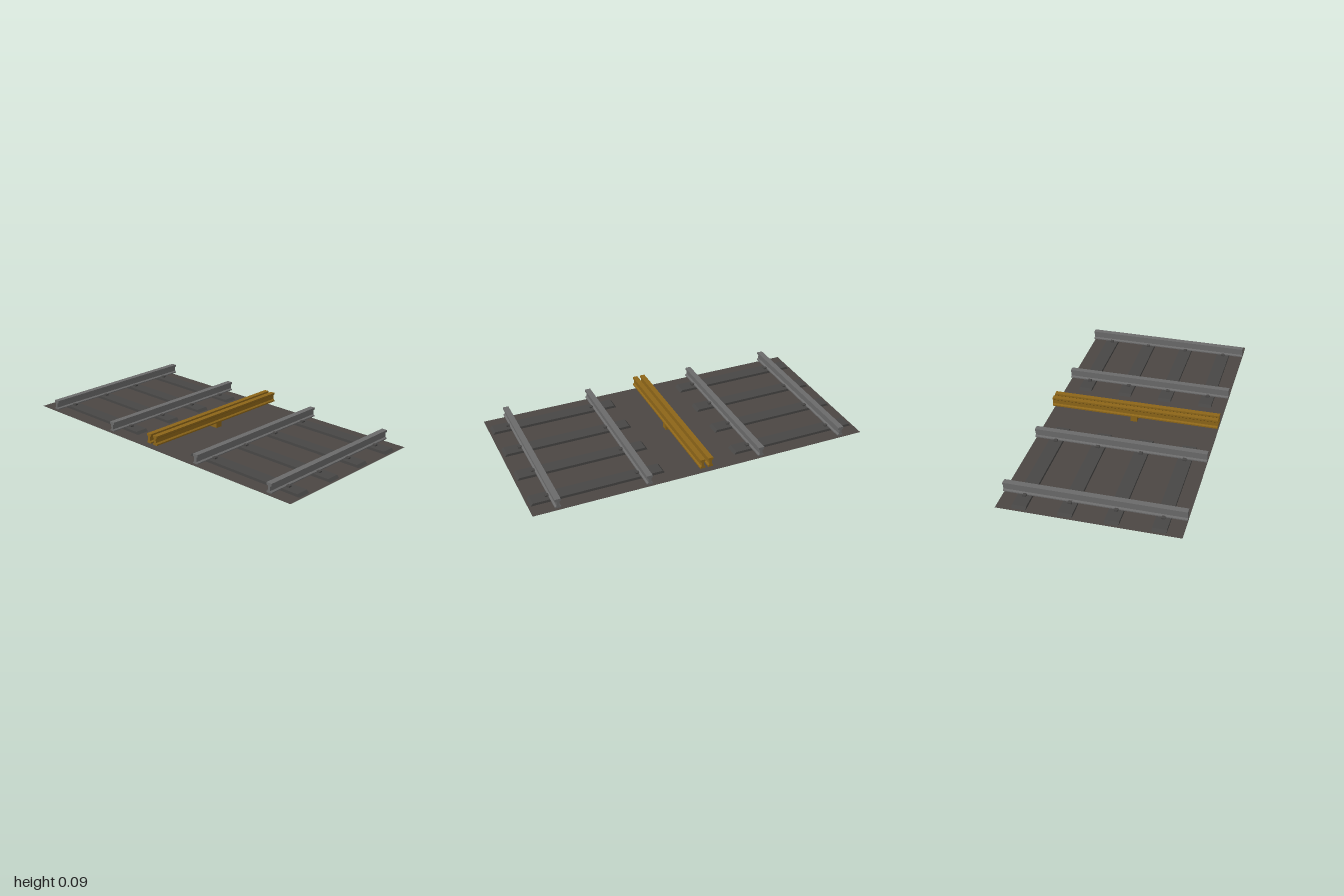
import * as THREE from 'three';

const material = (name, color, side = THREE.FrontSide) => {
  const m = new THREE.MeshStandardMaterial({ color, side });
  m.name = name;
  return m;
};

// Right half of a rail section (half width, height), from foot to head
const RUNNING = [[0.017, 0.015], [0.017, 0.021], [0.008, 0.027], [0.008, 0.052], [0.017, 0.057], [0.017, 0.07]];
const CENTRE = [[0.015, 0.03], [0.015, 0.038], [0.007, 0.045], [0.007, 0.068], [0.015, 0.075], [0.015, 0.086]];

// Mirrors a half section and sweeps it along z
function railGeometry(half, length) {
  const left = half.map(([x, y]) => [-x, y]).reverse();
  const shape = new THREE.Shape([...half, ...left].map(([x, y]) => new THREE.Vector2(x, y)));
  const g = new THREE.ExtrudeGeometry(shape, { depth: length, bevelEnabled: false });
  return g.translate(0, 0, -length / 2);
}

// Sleeper with sloping ends
function sleeperGeometry() {
  const shape = new THREE.Shape([[-0.385, 0], [0.385, 0], [0.372, 0.015], [-0.372, 0.015]]
    .map(([x, y]) => new THREE.Vector2(x, y)));
  return new THREE.ExtrudeGeometry(shape, { depth: 0.078, bevelEnabled: false }).translate(0, 0, -0.039);
}

export function createModel() {
  const group = new THREE.Group();
  const ground = material('dark ground', 0x4b4643, THREE.DoubleSide);
  const concrete = material('sleeper grey', 0x474645);
  const steel = material('rail steel', 0x6a6a6a);
  const brass = material('conductor ochre', 0x8c6518);

  const add = (name, geometry, mat, x = 0, y = 0, z = 0) => {
    const mesh = new THREE.Mesh(geometry, mat);
    mesh.name = name;
    mesh.position.set(x, y, z);
    group.add(mesh);
  };

  // Track bed
  add('trackBed', new THREE.PlaneGeometry(2, 1).rotateX(-Math.PI / 2), ground);

  const running = railGeometry(RUNNING, 1);
  const centre = railGeometry(CENTRE, 1);
  const sleeper = sleeperGeometry();
  const chair = new THREE.BoxGeometry(0.07, 0.009, 0.02);

  for (const side of [-1, 1]) {
    // Two running rails per track
    for (const x of [0.34, 0.86]) add('runningRail', running, steel, side * x);

    // Sleepers with a chair under each rail
    for (const z of [-0.375, -0.125, 0.125, 0.375]) {
      add('sleeper', sleeper, concrete, side * 0.6, 0, z);
      for (const x of [0.34, 0.86]) add('railChair', chair, concrete, side * x, 0.0185, z);
    }

    // Paired centre rails
    add('centreRail', centre, brass, side * 0.024);
  }

  // Block carrying the centre rails
  add('centreSupport', new THREE.BoxGeometry(0.078, 0.031, 0.04), brass, 0, 0.0155, 0);

  return group;
}
